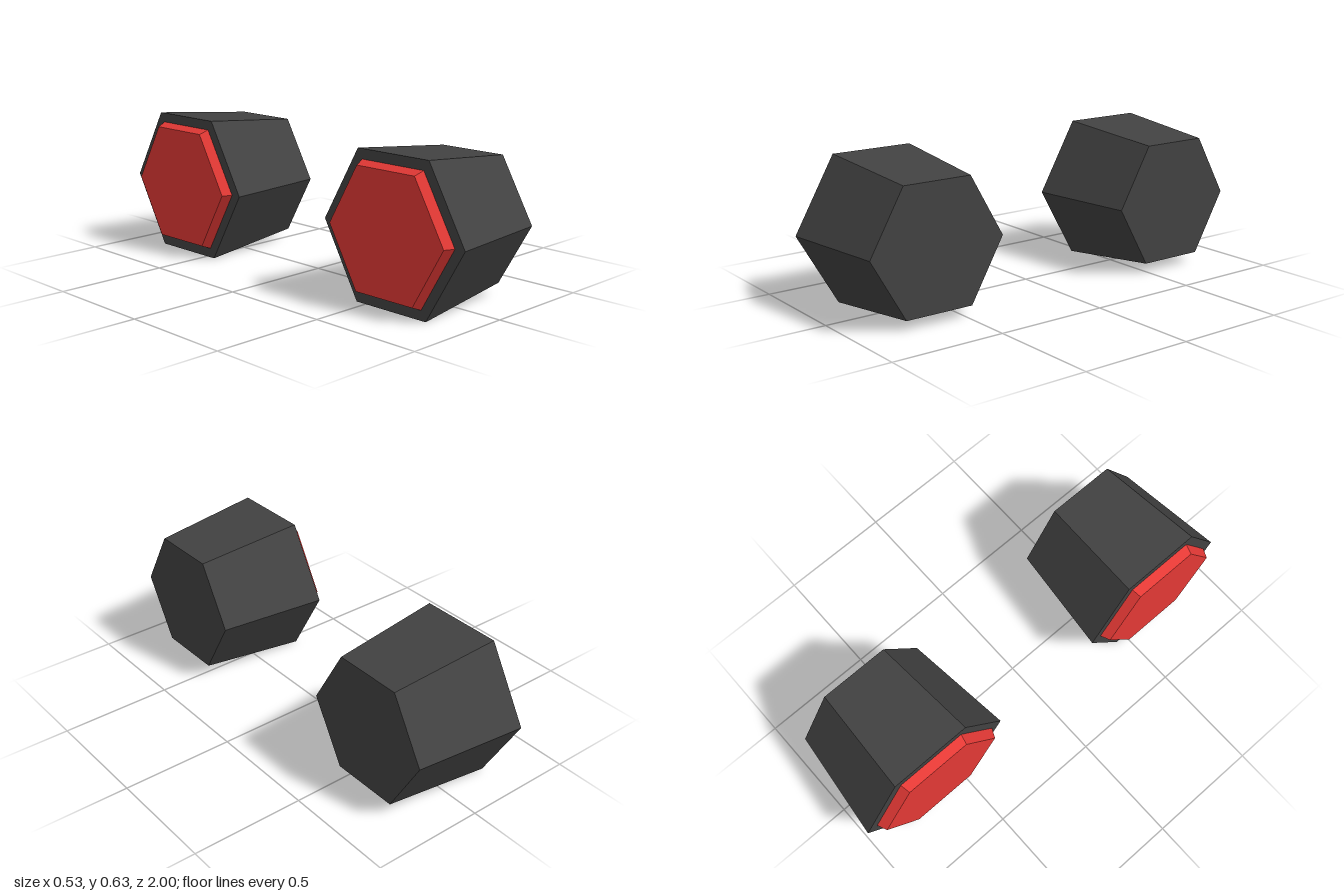
import * as THREE from 'three';

const RADIUS = 0.366;                          // wide hexagon radius
const AXLE_Y = RADIUS * Math.cos(Math.PI / 6); // flat side rests on the ground
const AXLE_Z = 1 - RADIUS;

const darkGrey = new THREE.MeshStandardMaterial({ color: 0x424242, flatShading: true });
darkGrey.name = 'darkGrey';
const red = new THREE.MeshStandardMaterial({ color: 0xe53935, flatShading: true });
red.name = 'red';

// Tapered six-sided prism lying along x, from x0 (radius r0) to x1 (radius r1)
function hexPrism(name, material, x0, r0, x1, r1) {
  const geometry = new THREE.CylinderGeometry(r1, r0, x1 - x0, 6);
  geometry.rotateZ(-Math.PI / 2);
  geometry.translate((x0 + x1) / 2, 0, 0);
  const mesh = new THREE.Mesh(geometry, material);
  mesh.name = name;
  return mesh;
}

function createWheel(name, z) {
  const wheel = new THREE.Group();
  wheel.name = name;
  wheel.add(
    hexPrism('tyre', darkGrey, -0.225, RADIUS, 0.267, 0.311),
    hexPrism('hubCap', red, -0.267, 0.298, -0.225, 0.317),
  );
  wheel.position.set(0, AXLE_Y, z);
  return wheel;
}

export function createModel() {
  const model = new THREE.Group();
  model.name = 'wheelPair';
  model.add(createWheel('frontWheel', AXLE_Z), createWheel('backWheel', -AXLE_Z));
  return model;
}
